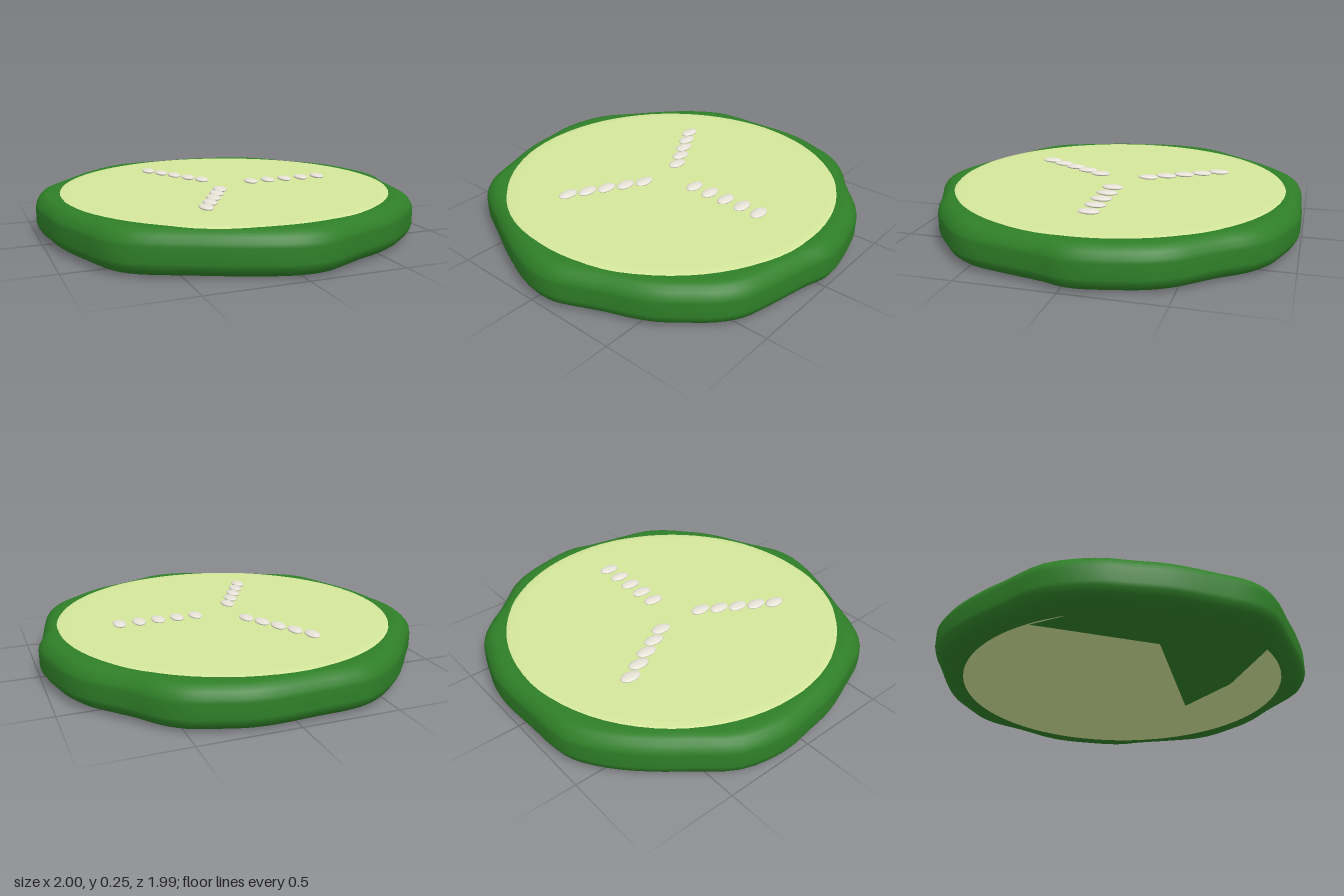
import * as THREE from 'three';

const rindMat = new THREE.MeshStandardMaterial({ color: 0x2f7f28 });
rindMat.name = 'rind green';
const fleshMat = new THREE.MeshStandardMaterial({ color: 0xd4e79a });
fleshMat.name = 'pale flesh green';
const seedMat = new THREE.MeshStandardMaterial({ color: 0xe8e3d8 });
seedMat.name = 'seed grey';

const CENTRE_Z = -0.016;

// Irregular outer edge of the rind as [x, z], clockwise from the back
const OUTLINE = [
  [-0.12, -0.985], [0.12, -0.995], [0.25, -0.98], [0.38, -0.94], [0.51, -0.89], [0.61, -0.81],
  [0.70, -0.695], [0.78, -0.605], [0.86, -0.515], [0.925, -0.40], [0.97, -0.24], [0.998, -0.09],
  [0.995, 0.0], [0.965, 0.10], [0.94, 0.22], [0.915, 0.34], [0.875, 0.49], [0.80, 0.60],
  [0.70, 0.69], [0.60, 0.77], [0.50, 0.825], [0.36, 0.88], [0.24, 0.935], [0.125, 0.982],
  [0.0, 0.988], [-0.125, 0.96], [-0.32, 0.885], [-0.50, 0.8], [-0.71, 0.695], [-0.805, 0.60],
  [-0.88, 0.42], [-0.955, 0.20], [-0.98, 0.03], [-1.0, -0.15], [-0.95, -0.39], [-0.81, -0.575],
  [-0.70, -0.71], [-0.55, -0.855], [-0.39, -0.955], [-0.26, -0.98],
];

// Rind section as [inset from the outline, height], bottom to top
const SECTION = [
  [0.3, 0.003], [0.09, 0.003], [0.075, 0.004], [0.045, 0.011], [0.02, 0.03], [0.005, 0.055],
  [0, 0.075], [0, 0.15], [0.005, 0.17], [0.02, 0.195], [0.04, 0.213], [0.06, 0.222],
  [0.08, 0.2255], [0.1, 0.226], [0.3, 0.226],
];

// Green area on the underside as [x, z]
const UNDERSIDE = [
  [0.246, 0.35], [-0.07, 0.565], [-0.5, 0.69], [-0.67, 0.55], [-0.8, 0.36], [-0.87, 0.15],
  [-0.88, -0.03], [-0.83, -0.25], [-0.73, -0.45], [-0.54, 0.16],
];

function rindGeometry() {
  const n = 120, pos = [], index = [];
  const edge = new THREE.CatmullRomCurve3(
    OUTLINE.map(([x, z]) => new THREE.Vector3(x, 0, z - CENTRE_Z)), true);
  const ring = edge.getPoints(n).slice(0, n);
  for (const [inset, y] of SECTION) {
    for (const p of ring) {
      const k = 1 - inset / p.length();
      pos.push(p.x * k, y, CENTRE_Z + p.z * k);
    }
  }
  for (let j = 0; j < SECTION.length - 1; j++) {
    for (let i = 0; i < n; i++) {
      const a = j * n + i, b = j * n + (i + 1) % n;
      index.push(a, a + n, b + n, a, b + n, b);
    }
  }
  const g = new THREE.BufferGeometry();
  g.setAttribute('position', new THREE.Float32BufferAttribute(pos, 3));
  g.setIndex(index);
  g.computeVertexNormals();
  return g;
}

export function createModel() {
  const model = new THREE.Group();
  model.name = 'vegetableSlice';

  const rind = new THREE.Mesh(rindGeometry(), rindMat);
  rind.name = 'rind';
  model.add(rind);

  // Rind showing through on the underside, facing down
  const patchShape = new THREE.Shape(UNDERSIDE.map(([x, z]) => new THREE.Vector2(x, z)));
  const patch = new THREE.Mesh(new THREE.ShapeGeometry(patchShape).rotateX(Math.PI / 2), rindMat);
  patch.name = 'undersideRind';
  model.add(patch);

  // Flesh: round disc with softened edges, showing on both faces
  const profile = [
    [0, 0.002], [0.845, 0.002], [0.85, 0.0025], [0.875, 0.006], [0.895, 0.02],
    [0.9, 0.205], [0.897, 0.218], [0.89, 0.2255], [0.87, 0.2283], [0.845, 0.2297],
    [0.84, 0.23], [0, 0.23],
  ].map(([r, y]) => new THREE.Vector2(r, y));
  const flesh = new THREE.Mesh(new THREE.LatheGeometry(profile, 72), fleshMat);
  flesh.name = 'flesh';
  flesh.position.z = CENTRE_Z;
  model.add(flesh);

  // Seeds: three rows of five, all lying the same way
  const seeds = new THREE.Group();
  seeds.name = 'seeds';
  const seedGeo = new THREE.SphereGeometry(1, 20, 12).scale(0.035, 0.012, 0.057);
  for (let row = 0; row < 3; row++) {
    const angle = row * Math.PI * 2 / 3;
    for (let i = 0; i < 5; i++) {
      const r = 0.16 + i * 0.104;
      const seed = new THREE.Mesh(seedGeo, seedMat);
      seed.name = 'seed';
      seed.position.set(Math.cos(angle) * r, 0.242, Math.sin(angle) * r - 0.018);
      seeds.add(seed);
    }
  }
  model.add(seeds);
  return model;
}
